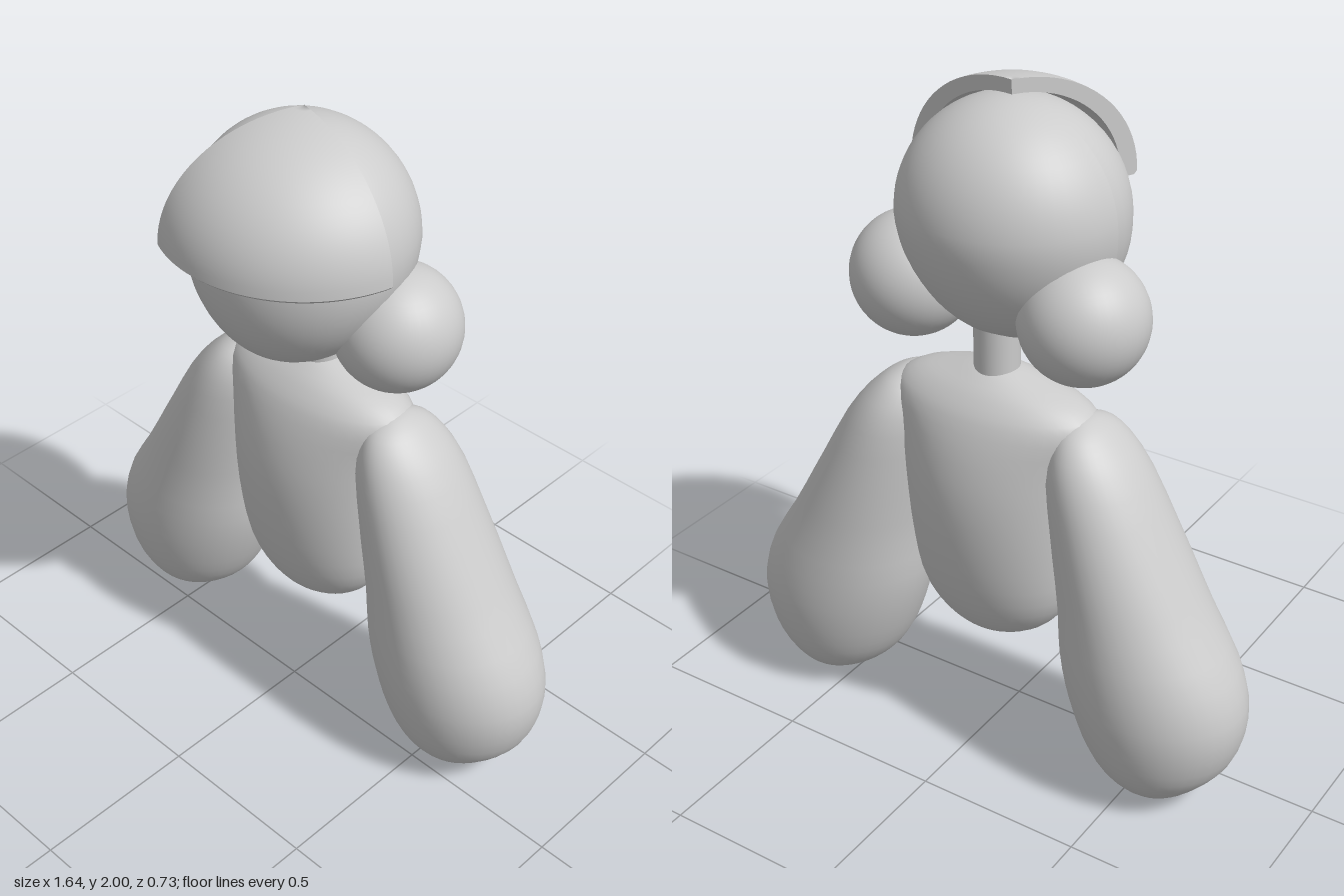
import * as THREE from 'three';

const material = new THREE.MeshStandardMaterial({ color: 0xcccccc });
const doubleMaterial = new THREE.MeshStandardMaterial({ color: 0xcccccc, side: THREE.DoubleSide });

function addMesh(parent, name, geometry, x = 0, y = 0, z = 0, mat = material) {
  const mesh = new THREE.Mesh(geometry, mat);
  mesh.name = name;
  mesh.position.set(x, y, z);
  parent.add(mesh);
  return mesh;
}

// Smooth closed form from horizontal ellipses, bottom to top: [y, centreX, radiusX, centreZ, radiusZ]
function loft(rows, steps = 44, sides = 40) {
  const mid = new THREE.CatmullRomCurve3(rows.map(r => new THREE.Vector3(r[1], r[0], r[3])));
  const size = new THREE.CatmullRomCurve3(rows.map(r => new THREE.Vector3(r[2], r[0], r[4])));
  const positions = [], index = [];
  for (let i = 0; i <= steps; i++) {
    // Sample both curves at the same parameter, denser towards the rounded ends
    const t = (1 - Math.cos(Math.PI * i / steps)) / 2;
    const c = mid.getPoint(t), s = size.getPoint(t);
    for (let j = 0; j < sides; j++) {
      const a = j / sides * Math.PI * 2;
      positions.push(c.x + Math.max(s.x, 0.0005) * Math.sin(a), s.y, c.z + Math.max(s.z, 0.0005) * Math.cos(a));
      if (i < steps) {
        const p = i * sides + j, q = i * sides + (j + 1) % sides;
        index.push(p, q, p + sides, q, q + sides, p + sides);
      }
    }
  }
  const geometry = new THREE.BufferGeometry();
  geometry.setAttribute('position', new THREE.Float32BufferAttribute(positions, 3));
  geometry.setIndex(index);
  geometry.computeVertexNormals();
  return geometry;
}

// Sphere whose lower half is drawn out into a soft chin
function headGeometry() {
  const geometry = new THREE.SphereGeometry(1, 48, 32);
  const p = geometry.attributes.position;
  for (let i = 0; i < p.count; i++) {
    const y = p.getY(i), t = Math.max(-y, 0);
    p.setXYZ(i,
      p.getX(i) * 0.325 * (1 - 0.1 * t * t),
      y * (y > 0 ? 0.32 : 0.365),
      p.getZ(i) * 0.305 + 0.03 * t);
  }
  geometry.computeVertexNormals();
  return geometry;
}

// Wedge of a thick dome, with both cut faces closed
function buildCap() {
  const cap = new THREE.Group();
  cap.name = 'cap';
  const profile = [];
  for (let i = 0; i <= 20; i++) {
    const a = i / 20 * Math.PI / 2;
    profile.push(new THREE.Vector2(0.4 * Math.cos(a), 0.01 + 0.33 * Math.sin(a)));
  }
  for (let i = 20; i >= 0; i--) {
    const a = i / 20 * Math.PI / 2;
    profile.push(new THREE.Vector2(0.345 * Math.cos(a), 0.01 + 0.29 * Math.sin(a)));
  }
  // Rounded rim
  profile.push(new THREE.Vector2(0.355, 0), new THREE.Vector2(0.39, 0), profile[0].clone());
  const start = THREE.MathUtils.degToRad(-26), sweep = THREE.MathUtils.degToRad(104);
  addMesh(cap, 'capShell', new THREE.LatheGeometry(profile, 32, start, sweep), 0, 0, 0, doubleMaterial);
  for (const angle of [start, start + sweep]) {
    const face = new THREE.ShapeGeometry(new THREE.Shape(profile.slice(0, -1)));
    addMesh(cap, 'capCutFace', face, 0, 0, 0, doubleMaterial).rotation.y = angle - Math.PI / 2;
  }
  cap.position.set(0, 1.66, -0.035);
  return cap;
}

export function createModel() {
  const model = new THREE.Group();
  model.name = 'figure';

  addMesh(model, 'head', headGeometry(), 0, 1.64, -0.03);
  model.add(buildCap());
  addMesh(model, 'neck', new THREE.CylinderGeometry(0.065, 0.065, 0.28, 32), 0, 1.28, -0.11);

  addMesh(model, 'body', loft([
    [0.34, 0, 0, -0.11, 0],
    [0.36, 0, 0.085, -0.11, 0.07],
    [0.41, 0, 0.175, -0.11, 0.125],
    [0.50, 0, 0.237, -0.11, 0.17],
    [0.65, 0, 0.262, -0.11, 0.205],
    [0.85, 0, 0.28, -0.11, 0.22],
    [1.00, 0, 0.30, -0.11, 0.20],
    [1.10, 0, 0.325, -0.11, 0.165],
    [1.15, 0, 0.27, -0.11, 0.13],
    [1.19, 0, 0.145, -0.11, 0.085],
    [1.215, 0, 0.05, -0.11, 0.04],
    [1.22, 0, 0, -0.11, 0],
  ]));

  // Arms that swell towards the hands, and the two hair buns
  for (const side of [1, -1]) {
    const prefix = side > 0 ? 'left' : 'right';
    const lean = side > 0 ? 0 : 0.01;
    const rows = [
      [0.003, 0.58, 0, -0.14, 0],
      [0.03, 0.575, 0.085, -0.14, 0.10],
      [0.09, 0.565, 0.165, -0.14, 0.165],
      [0.17, 0.565, 0.225, -0.137, 0.205],
      [0.30, 0.553, 0.265, -0.135, 0.23],
      [0.43, 0.522, 0.265, -0.133, 0.231],
      [0.60, 0.465, 0.22, -0.13, 0.215],
      [0.80, 0.395, 0.178, -0.125, 0.195],
      [1.00, 0.325, 0.132, -0.12, 0.16],
      [1.09, 0.295, 0.08, -0.115, 0.11],
      [1.125, 0.285, 0.035, -0.115, 0.05],
      [1.135, 0.28, 0, -0.115, 0],
    ];
    const arm = loft(rows.map(([y, cx, rx, cz, rz]) => [y, side * cx, rx, cz + lean, rz]));
    addMesh(model, prefix + 'Arm', arm);
    addMesh(model, prefix + 'HairBun', new THREE.SphereGeometry(0.18, 40, 28), side * 0.275, 1.42, -0.11);
  }
  return model;
}
